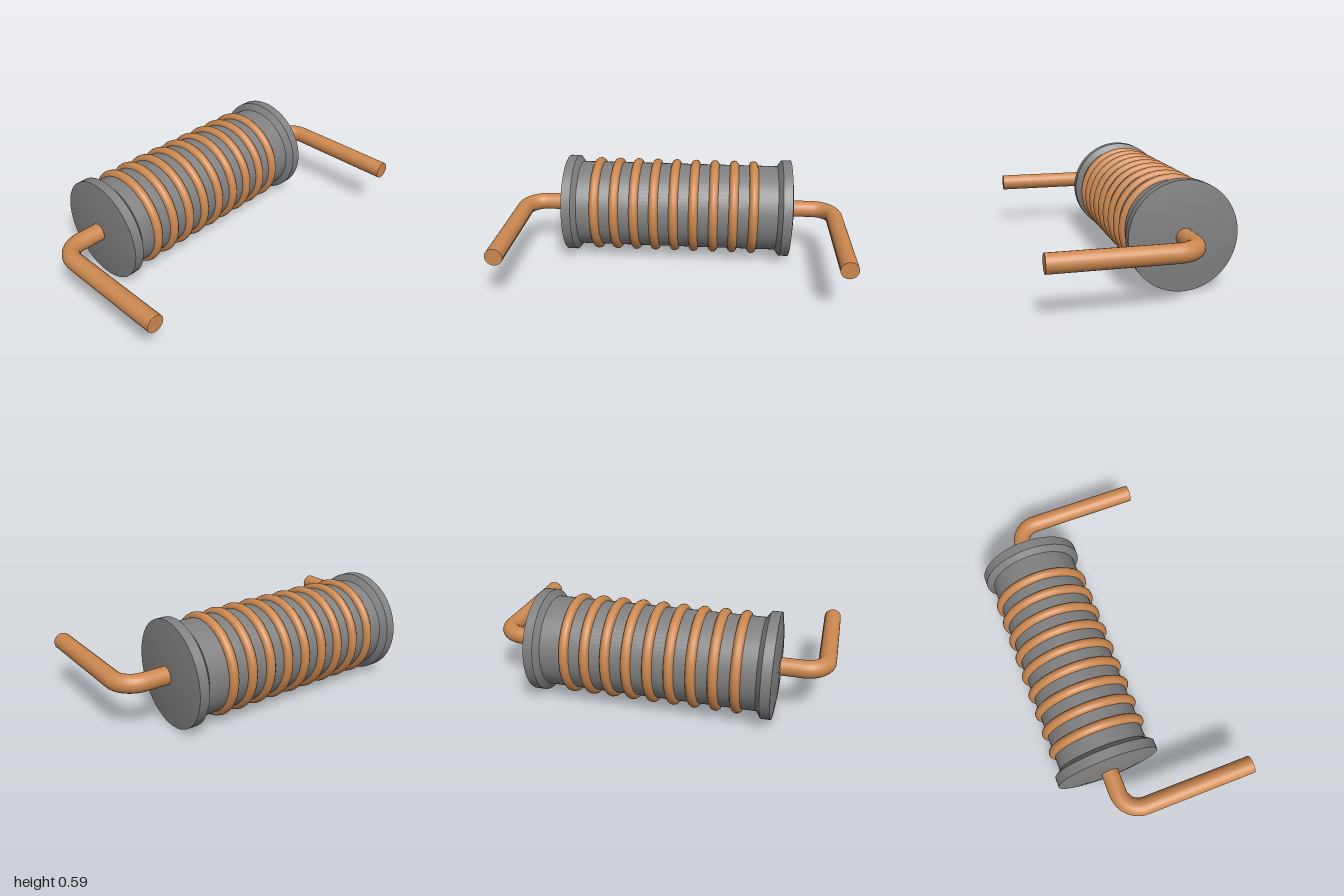
import * as THREE from 'three';
import { toCreasedNormals } from 'three/addons/utils/BufferGeometryUtils.js';

export function createModel() {
  const model = new THREE.Group();
  model.name = 'coilInductor';
  const axisY = 0.297, axisZ = -0.233;
  const grey = new THREE.MeshStandardMaterial({ color: 0x808080 });
  const copper = new THREE.MeshStandardMaterial({ color: 0xcc8850 });

  const add = (name, geometry, material, parent = model) => {
    const mesh = new THREE.Mesh(geometry, material);
    mesh.name = name;
    parent.add(mesh);
    return mesh;
  };

  // Bobbin: straight core, flared flanges and slightly domed ends
  const half = [[0.26, 0.604], [0.297, 0.631], [0.297, 0.686], [0.2, 0.699], [0.1, 0.705], [0, 0.706]];
  const profile = [
    ...half.map(([r, a]) => new THREE.Vector2(r, -a)).reverse(),
    ...half.map(([r, a]) => new THREE.Vector2(r, a)),
  ];
  const bobbin = add('bobbin', toCreasedNormals(new THREE.LatheGeometry(profile, 64), 0.4), grey);
  bobbin.rotation.z = -Math.PI / 2;
  bobbin.position.set(0, axisY, axisZ);

  // Wire turns around the core
  const windings = new THREE.Group();
  windings.name = 'windings';
  model.add(windings);
  const ringGeometry = new THREE.TorusGeometry(0.259, 0.028, 14, 64);
  ringGeometry.rotateY(Math.PI / 2);
  for (let i = 0; i < 9; i++) {
    add('wireTurn', ringGeometry, copper, windings)
      .position.set(-0.495 + i * 0.1193, axisY, axisZ);
  }

  // Bent leads, one per end
  const leadRadius = 0.05, bend = 0.12, k = bend * 0.4477, outerX = 0.95, tipZ = 0.53;
  for (const side of [1, -1]) {
    const lead = new THREE.Group();
    lead.name = side > 0 ? 'leftLead' : 'rightLead';
    model.add(lead);
    const p = (x, z) => new THREE.Vector3(side * x, axisY, z);
    const path = new THREE.CurvePath();
    path.add(new THREE.LineCurve3(p(0.66, axisZ), p(outerX - bend, axisZ)));
    path.add(new THREE.CubicBezierCurve3(
      p(outerX - bend, axisZ), p(outerX - k, axisZ),
      p(outerX, axisZ + k), p(outerX, axisZ + bend)));
    path.add(new THREE.LineCurve3(p(outerX, axisZ + bend), p(outerX, tipZ)));
    add('leadWire', new THREE.TubeGeometry(path, 80, leadRadius, 24), copper, lead);
    add('leadTip', new THREE.CircleGeometry(leadRadius, 24), copper, lead)
      .position.set(side * outerX, axisY, tipZ);
  }
  return model;
}
